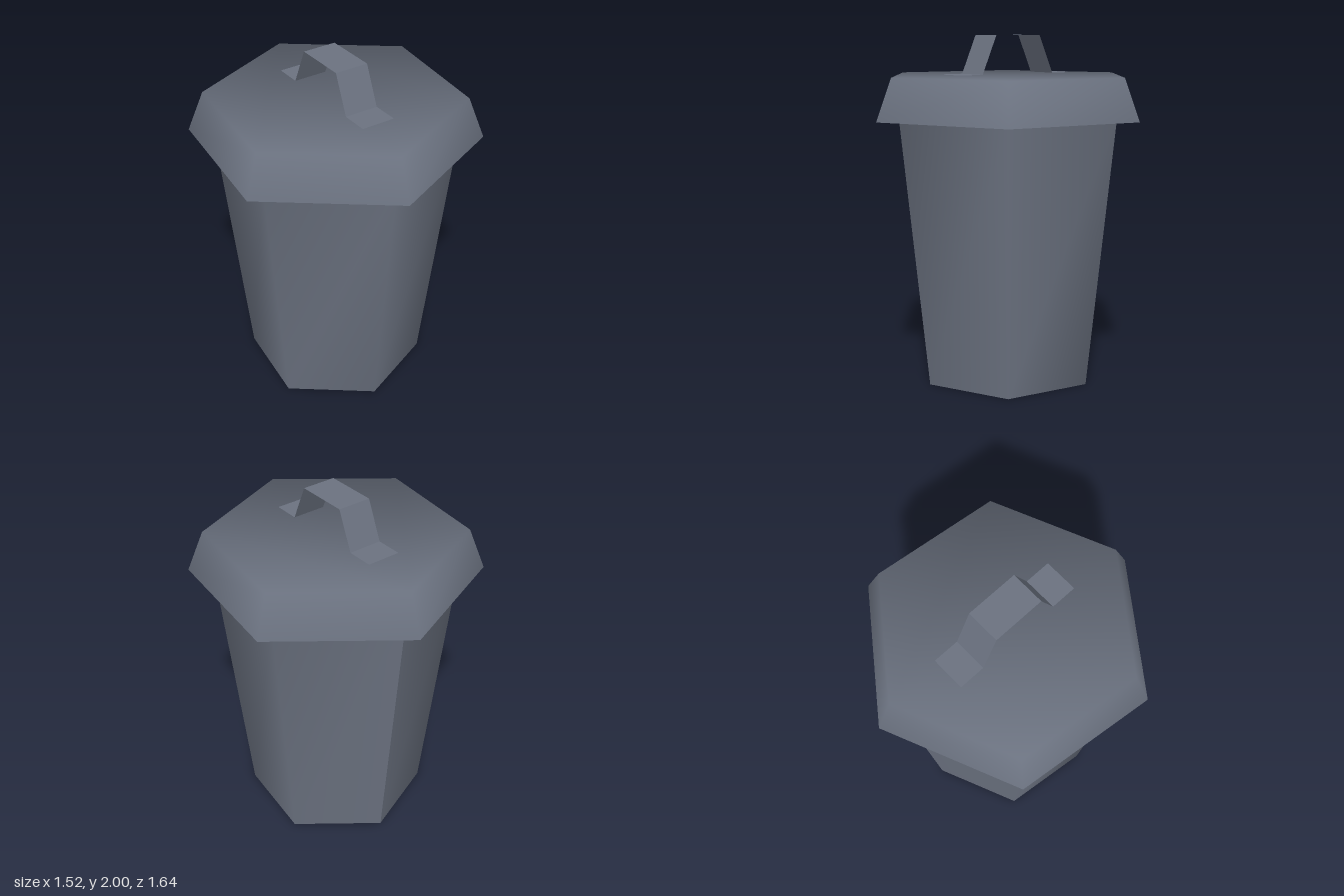
import * as THREE from 'three';

const SIDES = 6;
const TURN = THREE.MathUtils.degToRad(173.1); // angle of the first corner

// Lid: six-sided tapered shell, open below, with soft normals rolling over the top edge
function lidGeometry(topRadius, topY, rimRadius, rimY) {
  const positions = [], normals = [], indices = [];
  const rings = [
    { r: topRadius, y: topY, tilt: 49 },
    { r: rimRadius, y: rimY, tilt: 69 },
  ];
  for (const { r, y, tilt } of rings) {
    const t = THREE.MathUtils.degToRad(tilt);
    for (let i = 0; i < SIDES; i++) {
      const a = TURN + (i / SIDES) * Math.PI * 2;
      positions.push(Math.sin(a) * r, y, Math.cos(a) * r);
      normals.push(Math.sin(a) * Math.sin(t), Math.cos(t), Math.cos(a) * Math.sin(t));
    }
  }
  for (let i = 0; i < SIDES; i++) {
    const j = (i + 1) % SIDES;
    indices.push(i, SIDES + i, j, SIDES + i, SIDES + j, j); // sloping side
    if (i > 0 && i < SIDES - 1) indices.push(0, i, i + 1); // top
  }
  const geo = new THREE.BufferGeometry();
  geo.setAttribute('position', new THREE.Float32BufferAttribute(positions, 3));
  geo.setAttribute('normal', new THREE.Float32BufferAttribute(normals, 3));
  geo.setIndex(indices);
  return geo;
}

// Flat strap swept along a (z, y) profile, running from back to front
function strapGeometry(profile, halfWidth) {
  const positions = [];
  for (let i = 0; i < profile.length - 1; i++) {
    const [z0, y0] = profile[i];
    const [z1, y1] = profile[i + 1];
    const w = halfWidth;
    positions.push(
      -w, y0, z0, -w, y1, z1, w, y1, z1,
      -w, y0, z0, w, y1, z1, w, y0, z0,
    );
  }
  const geo = new THREE.BufferGeometry();
  geo.setAttribute('position', new THREE.Float32BufferAttribute(positions, 3));
  geo.computeVertexNormals();
  return geo;
}

export function createModel() {
  const group = new THREE.Group();
  group.name = 'bin';

  const greyMetal = new THREE.MeshStandardMaterial({ color: 0x6b7280, side: THREE.DoubleSide });
  greyMetal.name = 'greyMetal';

  const add = (name, geo) => {
    const mesh = new THREE.Mesh(geo, greyMetal);
    mesh.name = name;
    group.add(mesh);
    return mesh;
  };

  // Tapered body, open at both ends, with one sharp seam at the back
  const height = 1.555;
  const bodyGeo = new THREE.CylinderGeometry(0.693, 0.52, height, SIDES, 1, true, TURN);
  bodyGeo.computeVertexNormals();
  bodyGeo.translate(0, height / 2, 0);
  add('body', bodyGeo);

  add('lid', lidGeometry(0.735, 1.772, 0.828, 1.533));

  // Strap handle with two flat feet
  const half = [[0.155, 2], [0.25, 1.782], [0.405, 1.782]];
  const profile = [...half.map(([z, y]) => [-z, y]).reverse(), ...half];
  add('handle', strapGeometry(profile, 0.1));

  return group;
}
